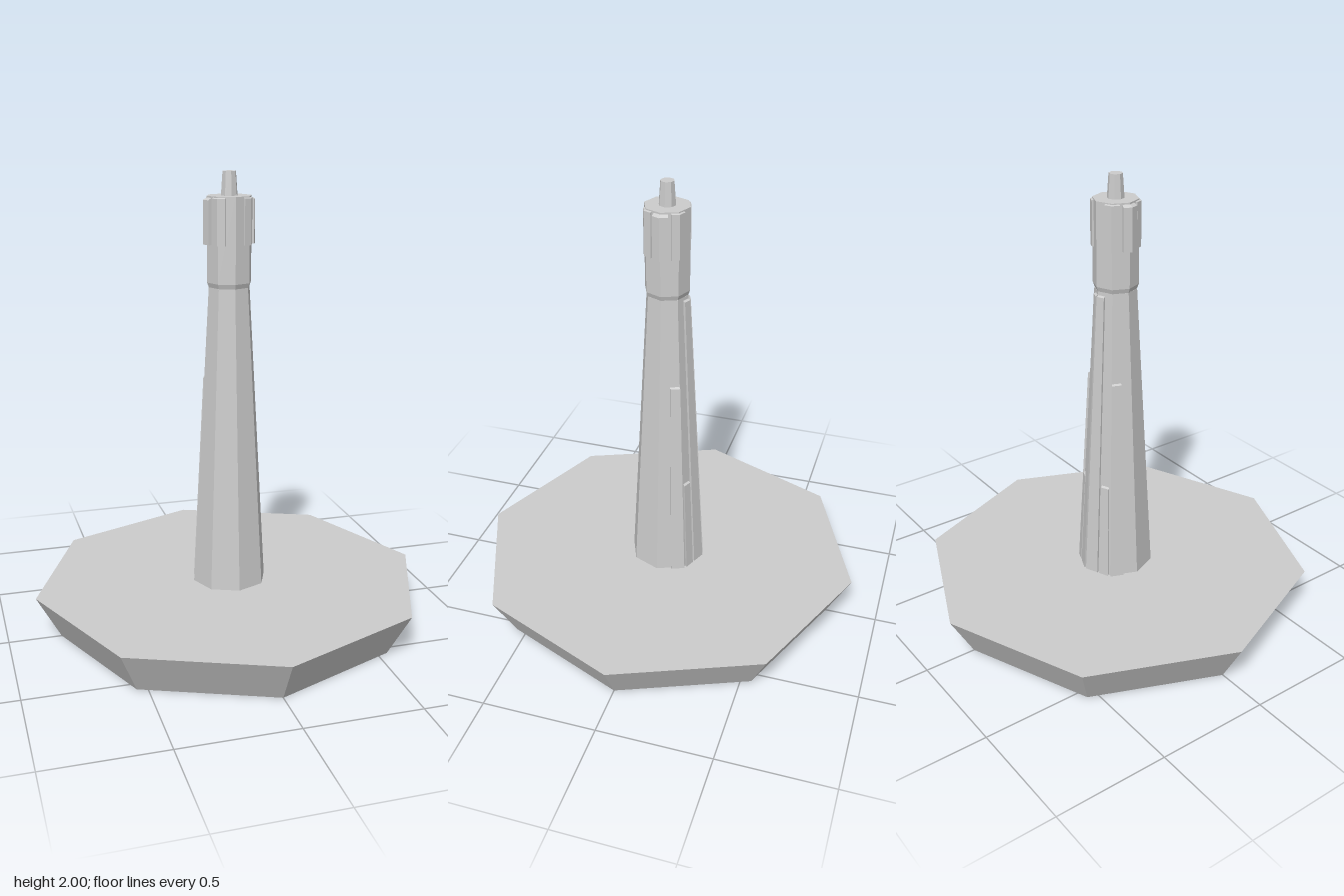
import * as THREE from 'three';

const material = new THREE.MeshStandardMaterial({ color: 0xcccccc, flatShading: true });
const BASE_TOP = 0.19, NECK = 1.52, HEAD_TOP = 1.9;

// shaft and head radius at a height
const shaftRadius = y => THREE.MathUtils.mapLinear(y, BASE_TOP, NECK, 0.165, 0.09);
const headRadius = () => 0.097;

function add(group, name, geometry, y = 0) {
  const mesh = new THREE.Mesh(geometry, material);
  mesh.name = name;
  mesh.position.y = y;
  group.add(mesh);
}

// eight-sided frustum with corners on the axes
function frustum(group, name, top, bottom, y0, y1) {
  add(group, name, new THREE.CylinderGeometry(top, bottom, y1 - y0, 8), (y0 + y1) / 2);
}

// raised plate on one octagon face; u runs across the face from 0 to 1
function plate(group, name, face, u0, u1, y0, y1, raise, radius) {
  const geometry = new THREE.BoxGeometry(1, 1, 1);
  const p = geometry.attributes.position;
  const a = face * Math.PI / 4, b = a + Math.PI / 4;
  for (let i = 0; i < p.count; i++) {
    const u = p.getX(i) < 0 ? u0 : u1;
    const outer = p.getZ(i) > 0;
    let y = p.getY(i) < 0 ? y0 : y1;
    const r = radius(y) + (outer ? raise : -0.012);
    if (outer && p.getY(i) > 0) y -= raise;
    p.setXYZ(i,
      r * THREE.MathUtils.lerp(Math.sin(a), Math.sin(b), u), y,
      r * THREE.MathUtils.lerp(Math.cos(a), Math.cos(b), u));
  }
  geometry.computeVertexNormals();
  add(group, name, geometry);
}

export function createModel() {
  const model = new THREE.Group();

  frustum(model, 'base', 0.875, 0.77, 0, BASE_TOP);
  frustum(model, 'shaft', 0.09, 0.165, BASE_TOP, NECK);
  frustum(model, 'headChamfer', 0.097, 0.086, NECK - 0.01, NECK + 0.02);
  frustum(model, 'head', 0.097, 0.097, NECK + 0.02, HEAD_TOP);
  frustum(model, 'finial', 0.029, 0.036, HEAD_TOP, 2);

  // long plates on the rear half of the shaft, mirrored left and right
  const plates = [
    [2, 0.52, 0.97, 1.13, 0.011],
    [3, 0.08, 0.42, 0.64, 0.011],
    [3, 0.5, 0.95, 1.51, 0.011],
  ];
  for (const [face, u0, u1, top, raise] of plates) {
    plate(model, 'shaftPlateLeft', face, u0, u1, BASE_TOP, top, raise, shaftRadius);
    plate(model, 'shaftPlateRight', 7 - face, 1 - u1, 1 - u0, BASE_TOP, top, raise, shaftRadius);
  }

  // short corner plates around the head, leaving front and back corners open
  for (const corner of [1, 2, 3, 5, 6, 7]) {
    const raise = corner % 4 === 2 ? 0.016 : 0.008;
    plate(model, 'headPlate', corner, 0, 0.42, 1.7, HEAD_TOP, raise, headRadius);
    plate(model, 'headPlate', corner - 1, 0.58, 1, 1.7, HEAD_TOP, raise, headRadius);
  }
  return model;
}
